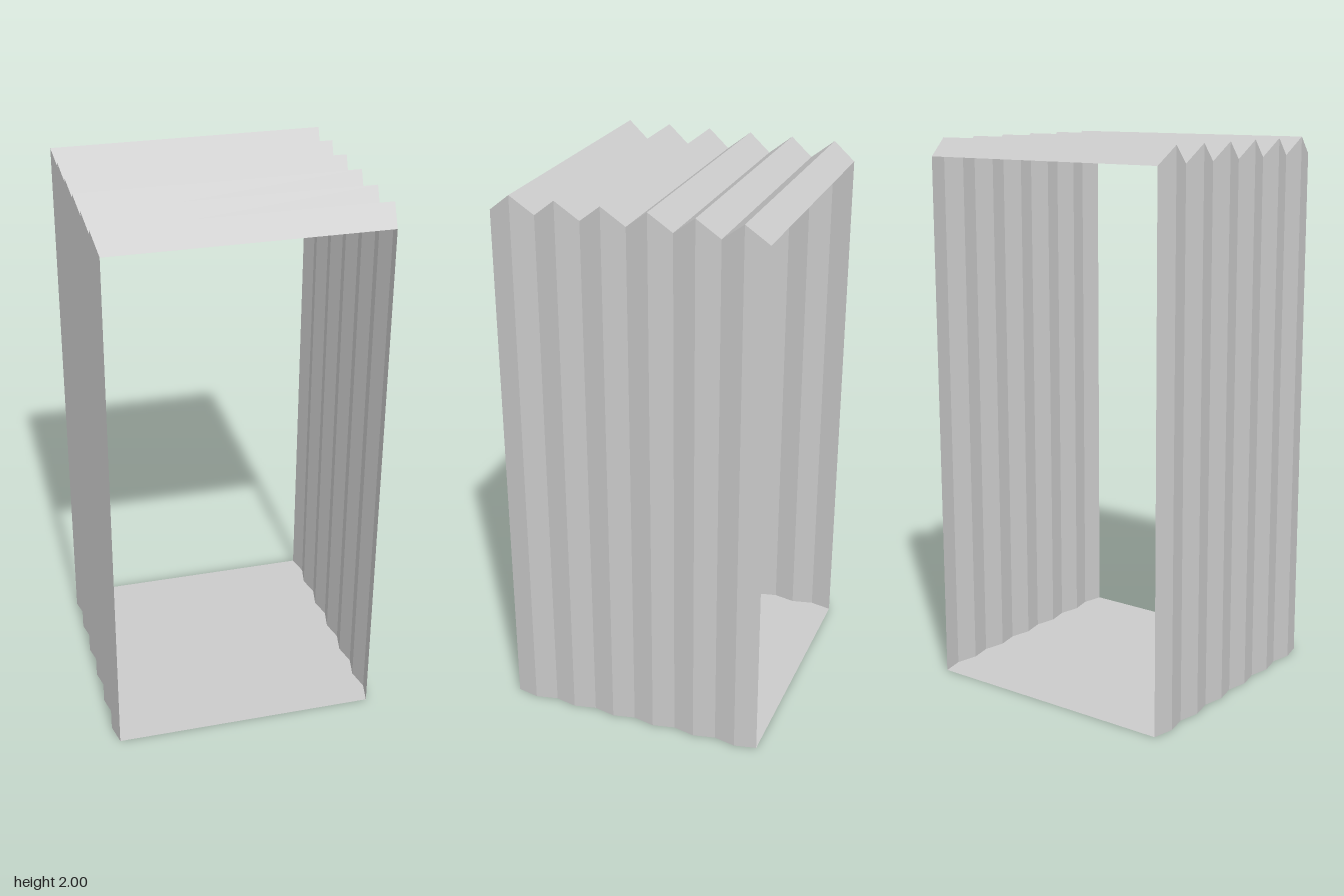
import * as THREE from 'three';

const FOLDS = 12;      // pleat faces from front to back
const DEPTH = 0.966;

// Corners of the open frame, each with a valley and a ridge position [x, y]
const corners = {
  leftBottom: { valley: [0.483, 0], ridge: [0.5, 0] },
  leftTop: { valley: [0.483, 1.937], ridge: [0.5, 2] },
  rightTop: { valley: [-0.483, 1.937], ridge: [-0.5, 2] },
  rightBottom: { valley: [-0.483, 0], ridge: [-0.5, 0] },
};

// Zigzag rail running along one corner, front to back
function rail(corner) {
  return Array.from({ length: FOLDS + 1 }, (_, i) => {
    const [x, y] = i % 2 ? corner.ridge : corner.valley;
    return [x, y, DEPTH / 2 - (i * DEPTH) / FOLDS];
  });
}

// Pleated sheet stretched between two rails
function panel(name, from, to, material) {
  const a = rail(from), b = rail(to), positions = [];
  for (let i = 0; i < FOLDS; i++) {
    positions.push(...a[i], ...a[i + 1], ...b[i], ...b[i], ...a[i + 1], ...b[i + 1]);
  }
  const geometry = new THREE.BufferGeometry();
  geometry.setAttribute('position', new THREE.Float32BufferAttribute(positions, 3));
  geometry.computeVertexNormals();
  const mesh = new THREE.Mesh(geometry, material);
  mesh.name = name;
  return mesh;
}

export function createModel() {
  const group = new THREE.Group();
  group.name = 'pleatedFrame';
  const material = new THREE.MeshStandardMaterial({
    color: 0xcccccc, flatShading: true, side: THREE.DoubleSide,
  });
  const { leftBottom, leftTop, rightTop, rightBottom } = corners;
  group.add(
    panel('leftWall', leftBottom, leftTop, material),
    panel('roof', leftTop, rightTop, material),
    panel('rightWall', rightTop, rightBottom, material),
    panel('floor', rightBottom, leftBottom, material),
  );
  return group;
}
